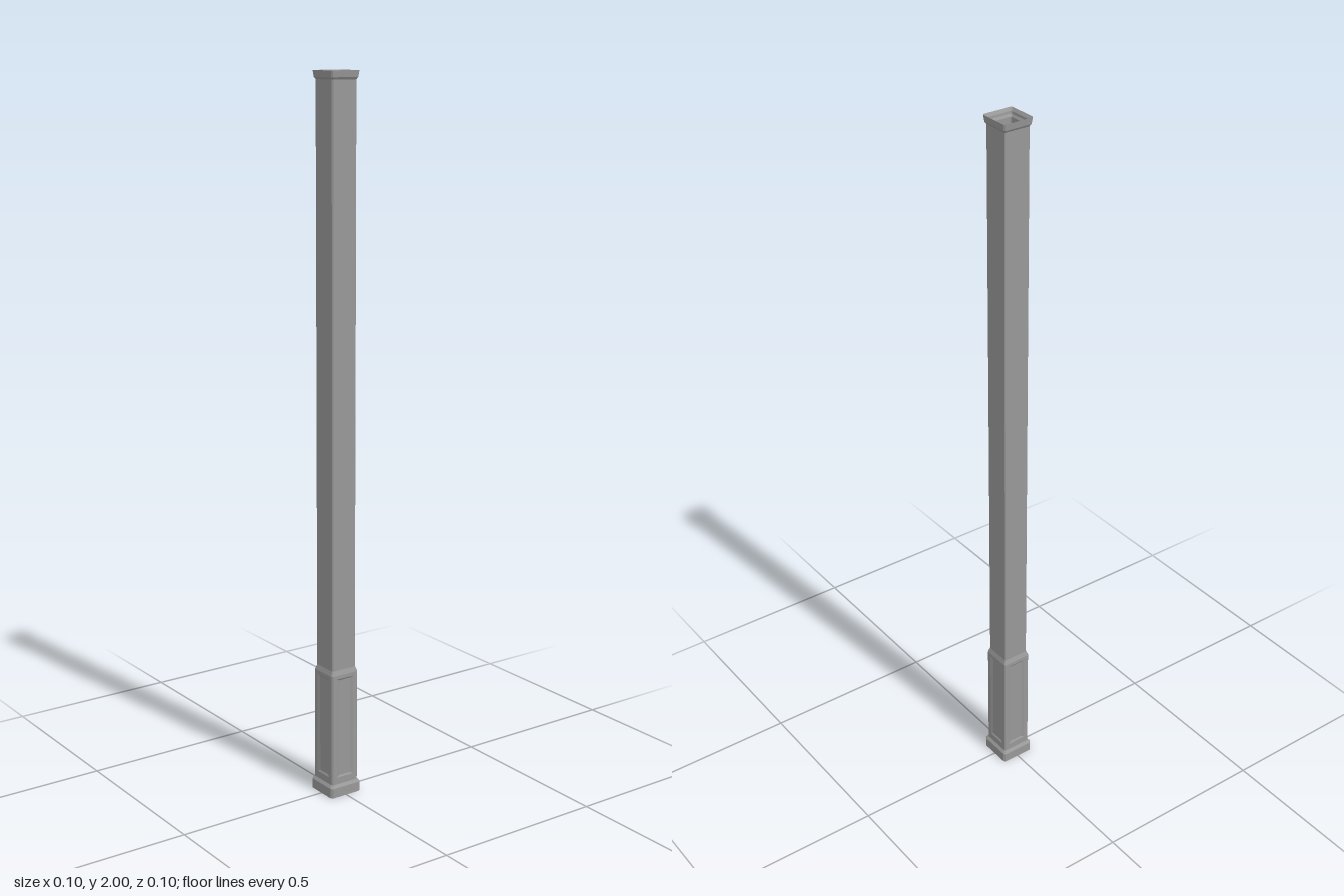
import * as THREE from 'three';

const material = new THREE.MeshStandardMaterial({ color: 0x989898, flatShading: true, side: THREE.DoubleSide });

// Square ring with cut corners: height y, half width h, corner cut c
function ring([y, h, c]) {
  const k = h - c;
  return [[k, h], [h, k], [h, -k], [k, -h], [-k, -h], [-h, -k], [-h, k], [-k, h]]
    .map(([x, z]) => new THREE.Vector3(x, y, z));
}

// Skin of quads between successive closed loops of points
function skin(name, loops, keep = () => true) {
  const pos = [];
  for (let j = 0; j < loops.length - 1; j++) {
    const a = loops[j], b = loops[j + 1], n = a.length;
    for (let i = 0; i < n; i++) {
      if (!keep(i)) continue;
      const k = (i + 1) % n;
      for (const p of [a[i], a[k], b[k], a[i], b[k], b[i]]) pos.push(p.x, p.y, p.z);
    }
  }
  const geometry = new THREE.BufferGeometry();
  geometry.setAttribute('position', new THREE.Float32BufferAttribute(pos, 3));
  geometry.computeVertexNormals();
  const mesh = new THREE.Mesh(geometry, material);
  mesh.name = name;
  return mesh;
}

// Upright rectangle facing +z
const rect = (w, y0, y1, z) =>
  [[-w, y0], [w, y0], [w, y1], [-w, y1]].map(([x, y]) => new THREE.Vector3(x, y, z));

export function createModel() {
  const group = new THREE.Group();
  group.name = 'squareColumn';

  const bottom = 0.036, top = 0.36, half = 0.044, cut = 0.004;
  const shaft = 0.039, shaftCut = 0.003;

  // Foot moulding, open underneath
  group.add(skin('foot', [[0, 0.0505, 0.006], [0.028, 0.0505, 0.006], [bottom, half, cut]].map(ring)));

  // Pedestal: cut corners, then a framed, shallow recessed panel on each side
  group.add(skin('pedestalCorners', [[bottom, half, cut], [top, half, cut]].map(ring), i => i % 2 === 0));
  for (let s = 0; s < 4; s++) {
    const side = new THREE.Group();
    side.name = 'pedestalSide';
    side.rotation.y = s * Math.PI / 2;
    const depth = half - 0.003;
    side.add(skin('panelFrame', [
      rect(half - cut, bottom, top, half),
      rect(0.028, 0.056, 0.35, half),
      rect(0.019, 0.061, 0.345, depth),
    ]));
    const panel = new THREE.Mesh(new THREE.PlaneGeometry(0.038, 0.284), material);
    panel.position.set(0, 0.203, depth);
    panel.name = 'recessedPanel';
    side.add(panel);
    group.add(side);
  }

  // Shoulder and hollow shaft
  group.add(skin('shoulder', [[top, half, cut], [0.374, shaft, shaftCut]].map(ring)));
  group.add(skin('shaft', [[0.374, shaft, shaftCut], [1.977, shaft, shaftCut]].map(ring)));

  // Cap band with a rim sloping into the hollow
  group.add(skin('cap', [
    [1.977, shaft, shaftCut],
    [1.983, 0.043, 0.004],
    [2, 0.045, 0.004],
    [1.992, shaft, shaftCut],
  ].map(ring)));
  return group;
}
